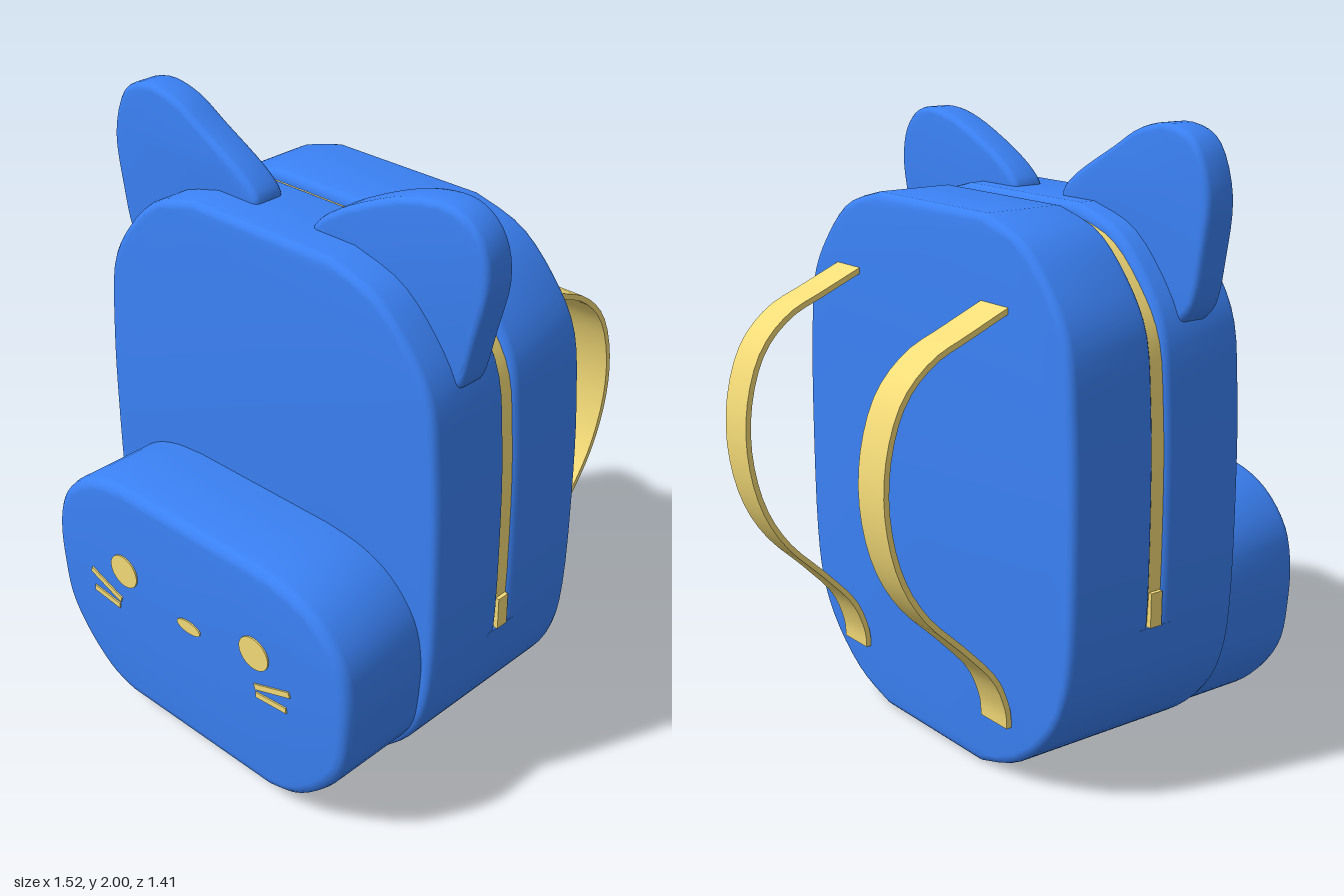
import * as THREE from 'three';
import { toCreasedNormals } from 'three/addons/utils/BufferGeometryUtils.js';

const blue = new THREE.MeshStandardMaterial({ color: 0x3b82f6 });
const yellow = new THREE.MeshStandardMaterial({ color: 0xf5dc78 });
const vec = (pts) => pts.map(([x, y]) => new THREE.Vector2(x, y));
const spline = (pts, n) => new THREE.SplineCurve(vec(pts)).getPoints(n);

// Closed symmetric outline from a right half listed bottom to top
const mirrored = (half) => [
  ...half,
  ...half.map((p) => new THREE.Vector2(-p.x, p.y)).reverse(),
];

// Slab of an outline between two z values, with rounded edges kept inside the outline
function slab(points, z0, z1, bevel = 0) {
  const geo = new THREE.ExtrudeGeometry(new THREE.Shape(points), {
    depth: z1 - z0 - 2 * bevel,
    bevelEnabled: bevel > 0,
    bevelSize: bevel,
    bevelThickness: bevel,
    bevelOffset: -bevel,
    bevelSegments: 3,
  });
  geo.translate(0, 0, z0 + bevel);
  return toCreasedNormals(geo, 0.6);
}

export function createModel() {
  const group = new THREE.Group();
  const add = (name, geo, mat) => {
    const mesh = new THREE.Mesh(geo, mat);
    mesh.name = name;
    group.add(mesh);
    return mesh;
  };

  // Main bag: two shells joined below the zip opening
  const half = spline([
    [0.26, 0.005], [0.43, 0.065], [0.58, 0.186], [0.67, 0.335], [0.705, 0.55], [0.71, 0.95],
    [0.7, 1.21], [0.674, 1.42], [0.59, 1.565], [0.456, 1.69], [0.28, 1.745],
  ], 36);
  const outline = mirrored(half);
  add('backShell', slab(outline, -0.27, 0.038, 0.025), blue);
  add('frontShell', slab(outline, 0.08, 0.385, 0.025), blue);
  const zipEnd = 0.53;
  const lower = half.filter((p) => p.y < zipEnd - 0.01);
  lower.push(new THREE.Vector2(0.704, zipEnd));
  add('lowerJoin', slab(mirrored(lower), 0.0, 0.12), blue);

  // Zip set into the groove, with flush ends
  const inset = outline.map((p) => new THREE.Vector2(p.x * 0.982, 0.87 + (p.y - 0.87) * 0.962));
  add('zipSeam', slab(inset, 0.03, 0.09), yellow);
  for (const s of [-1, 1]) {
    const stop = add('zipEnd', new THREE.BoxGeometry(0.03, 0.11, 0.044), yellow);
    stop.position.set(s * 0.693, zipEnd + 0.055, 0.059);
  }

  // Front pocket
  const pocket = spline([
    [0.33, 0.05], [0.44, 0.085], [0.555, 0.18], [0.635, 0.3], [0.66, 0.44],
    [0.663, 0.58], [0.63, 0.7], [0.54, 0.8], [0.42, 0.853], [0.28, 0.87],
  ], 32);
  add('frontPocket', slab(mirrored(pocket), 0.34, 0.7, 0.035), blue);

  // Ears, slightly different from each other
  const earLeft = spline([
    [0.65, 1.43], [0.68, 1.45], [0.72, 1.6], [0.757, 1.76], [0.735, 1.88], [0.66, 1.95],
    [0.55, 1.96], [0.4, 1.92], [0.2, 1.825], [0.11, 1.75], [0.13, 1.69],
  ], 40);
  const earRight = spline([
    [-0.13, 1.7], [-0.12, 1.76], [-0.19, 1.825], [-0.35, 1.915], [-0.47, 1.98], [-0.6, 2.0],
    [-0.71, 1.95], [-0.765, 1.8], [-0.745, 1.62], [-0.715, 1.49], [-0.66, 1.43],
  ], 40);
  add('leftEar', slab(earLeft, 0.155, 0.268, 0.02), blue);
  add('rightEar', slab(earRight, 0.155, 0.268, 0.02), blue);

  // Face: eyes, nose and whiskers
  const disc = (name, x, y, rx, ry) => {
    const geo = new THREE.CylinderGeometry(1, 1, 0.02, 24).rotateX(Math.PI / 2);
    add(name, geo.scale(rx, ry, 1), yellow).position.set(x, y, 0.695);
  };
  disc('rightEye', -0.32, 0.555, 0.063, 0.057);
  disc('leftEye', 0.28, 0.555, 0.063, 0.057);
  disc('nose', -0.015, 0.495, 0.053, 0.022);
  for (const [x0, y0, x1, y1] of [
    [-0.49, 0.482, -0.345, 0.43], [-0.48, 0.414, -0.355, 0.402],
    [0.28, 0.43, 0.43, 0.482], [0.285, 0.402, 0.415, 0.414],
  ]) {
    const geo = new THREE.BoxGeometry(Math.hypot(x1 - x0, y1 - y0), 0.02, 0.02);
    const whisker = add('whisker', geo, yellow);
    whisker.position.set((x0 + x1) / 2, (y0 + y1) / 2, 0.695);
    whisker.rotation.z = Math.atan2(y1 - y0, x1 - x0);
  }

  // Shoulder straps: a ribbon profile in (z, y), widened along x and swayed sideways
  const path = spline([
    [-0.24, 1.495], [-0.4, 1.425], [-0.53, 1.365], [-0.63, 1.26], [-0.685, 1.1], [-0.695, 0.93],
    [-0.66, 0.76], [-0.58, 0.62], [-0.45, 0.49], [-0.34, 0.37], [-0.29, 0.26], [-0.28, 0.19],
  ], 36);
  const side = (d) => path.map((p, i) => {
    const a = path[Math.max(i - 1, 0)];
    const b = path[Math.min(i + 1, path.length - 1)];
    const t = b.clone().sub(a).normalize();
    return new THREE.Vector2(p.x - t.y * d, p.y + t.x * d);
  });
  const ribbon = [...side(0.009), ...side(-0.009).reverse()];
  for (const [name, x] of [['rightStrap', -0.355], ['leftStrap', 0.43]]) {
    const geo = slab(ribbon, -0.066, 0.066).rotateY(-Math.PI / 2);
    const pos = geo.attributes.position;
    for (let i = 0; i < pos.count; i++) {
      const sway = 0.018 * Math.sin(((pos.getY(i) - 0.85) / 0.65) * Math.PI * 0.8);
      pos.setX(i, pos.getX(i) + sway);
    }
    add(name, geo, yellow).position.x = x;
  }
  return group;
}
